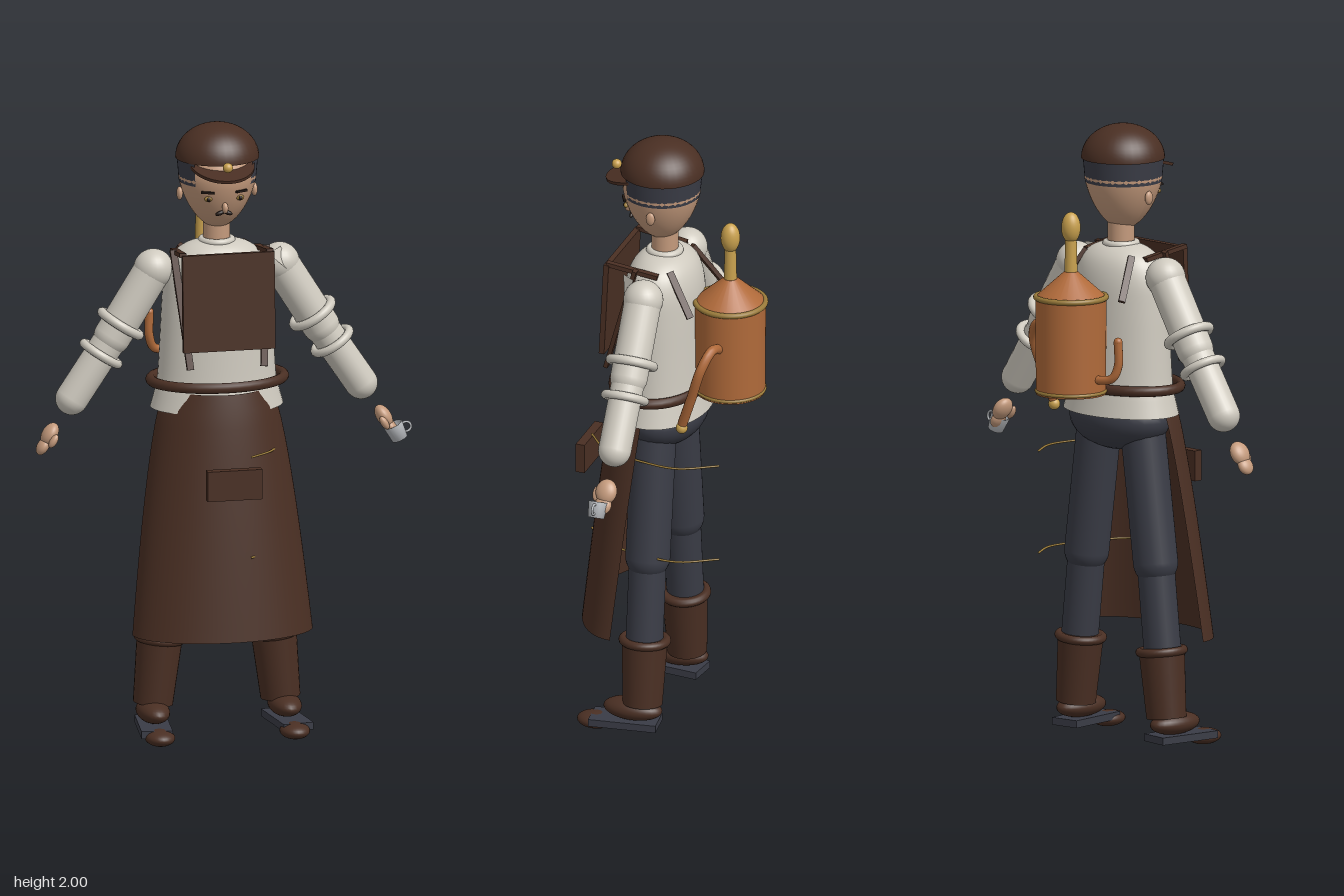
import * as THREE from 'three';

const mat = (name, color, side = THREE.FrontSide) => {
  const m = new THREE.MeshStandardMaterial({ color, side });
  m.name = name;
  return m;
};
const V = (x, y, z) => new THREE.Vector3(x, y, z);
const UP = V(0, 1, 0);

export function createModel() {
  const M = {
    leather: mat('brown leather', 0x4a2f23, THREE.DoubleSide),
    cloth: mat('linen shirt', 0xcfcabf, THREE.DoubleSide),
    navy: mat('dark slate', 0x3a3c46, THREE.DoubleSide),
    skin: mat('skin', 0xc49a7c),
    copper: mat('copper', 0xb06a3a),
    brass: mat('brass', 0xc9a14e),
    trim: mat('dull brass trim', 0x9a7b3a),
    tin: mat('tin', 0xb9bcc0, THREE.DoubleSide),
    ink: mat('dark hair', 0x241a16),
  };
  const model = new THREE.Group();
  model.name = 'travellingBrewer';
  const body = new THREE.Group();
  body.name = 'figure';
  body.position.x = -0.022;
  model.add(body);

  const add = (name, geo, m, x = 0, y = 0, z = 0) => {
    const mesh = new THREE.Mesh(geo, m);
    mesh.name = name;
    mesh.position.set(x, y, z);
    body.add(mesh);
    return mesh;
  };
  const ball = (name, m, x, y, z, rx, ry = rx, rz = rx) => {
    const b = add(name, new THREE.SphereGeometry(1, 28, 18), m, x, y, z);
    b.scale.set(rx, ry, rz);
    return b;
  };
  // Turn a part whose length runs along y so that it points from a to b
  const aim = (mesh, a, b) => {
    mesh.position.copy(a).lerp(b, 0.5);
    mesh.quaternion.setFromUnitVectors(UP, b.clone().sub(a).normalize());
    return mesh;
  };
  const capsule = (name, m, a, b, r) =>
    aim(add(name, new THREE.CapsuleGeometry(r, a.distanceTo(b), 8, 28), m), a, b);
  const rod = (name, m, a, b, ra, rb = ra) =>
    aim(add(name, new THREE.CylinderGeometry(rb, ra, a.distanceTo(b), 28), m), a, b);
  const strap = (name, a, b, w, t) =>
    aim(add(name, new THREE.BoxGeometry(w, a.distanceTo(b), t), M.leather), a, b);
  const ring = (name, m, r, tube, c, dir = UP) => {
    const g = new THREE.TorusGeometry(r, tube, 12, 40).rotateX(Math.PI / 2);
    const t = add(name, g, m, c.x, c.y, c.z);
    t.quaternion.setFromUnitVectors(UP, dir);
    return t;
  };
  const tube = (name, m, pts, r) =>
    add(name, new THREE.TubeGeometry(new THREE.CatmullRomCurve3(pts), 32, r, 12), m);

  // Head, tapering toward the chin
  const headGeo = new THREE.SphereGeometry(0.125, 36, 24);
  const p = headGeo.attributes.position;
  for (let i = 0; i < p.count; i++) {
    const t = Math.max(0, -p.getY(i) / 0.125), k = 1 - 0.2 * t;
    p.setXYZ(i, p.getX(i) * k, p.getY(i) * (t > 0 ? 1.36 : 1), p.getZ(i) * k);
  }
  headGeo.computeVertexNormals();
  add('head', headGeo, M.skin, 0, 1.83, 0.045);
  rod('neck', M.skin, V(0, 1.59, 0.035), V(0, 1.7, 0.035), 0.043);
  ball('nose', M.skin, 0, 1.748, 0.158, 0.01, 0.018, 0.014);
  add('hair', new THREE.CylinderGeometry(0.13, 0.123, 0.08, 40, 1, true, 0.82, Math.PI * 2 - 1.64),
    M.navy, 0, 1.855, 0.045);

  // Cap, visor and badge
  const dome = add('capDome', new THREE.SphereGeometry(1, 36, 14, 0, Math.PI * 2, 0, Math.PI / 2), M.leather, 0, 1.89, 0.043);
  dome.scale.set(0.134, 0.11, 0.134);
  const under = add('capUnderside', new THREE.CircleGeometry(0.134, 36), M.leather, 0, 1.89, 0.043);
  under.rotation.x = Math.PI / 2;
  const visor = add('capVisor', new THREE.CylinderGeometry(1, 1, 1, 36), M.leather, 0, 1.882, 0.105);
  visor.scale.set(0.105, 0.01, 0.128);
  visor.rotation.x = 0.26;
  ball('capBadge', M.brass, 0, 1.89, 0.198, 0.016);

  for (const s of [-1, 1]) {
    // Face
    ball('eye', M.trim, s * 0.052, 1.777, 0.146, 0.013, 0.009, 0.008);
    ball('pupil', M.ink, s * 0.052, 1.777, 0.152, 0.006, 0.007, 0.005);
    const brow = add('eyebrow', new THREE.BoxGeometry(0.042, 0.007, 0.009), M.ink, s * 0.055, 1.8, 0.153);
    brow.rotation.y = s * 0.45;
    const tash = ball('moustache', M.ink, s * 0.013, 1.728, 0.142, 0.016, 0.007, 0.007);
    tash.rotation.z = -s * 0.35;
    ball('ear', M.skin, s * 0.122, 1.775, 0.04, 0.01, 0.022, 0.015);

    // Sleeve with two rolled bands
    const sh = V(s * 0.206, 1.53, 0.033), el = V(s * 0.34, 1.315, 0.033), wr = V(s * 0.472, 1.118, 0.033);
    const dir = wr.clone().sub(sh).normalize();
    ball('shoulder', M.cloth, sh.x, sh.y, sh.z, 0.064);
    capsule('upperSleeve', M.cloth, sh, el, 0.06);
    capsule('lowerSleeve', M.cloth, el, wr, 0.053);
    ring('sleeveBand', M.cloth, 0.07, 0.015, V(s * 0.313, 1.355, 0.033), dir);
    ring('sleeveBand', M.cloth, 0.064, 0.014, V(s * 0.377, 1.26, 0.033), dir);

    // Hand
    const palm = ball('palm', M.skin, s * 0.545, 1.005, 0.035, 0.024, 0.04, 0.035);
    const fingers = ball('fingers', M.skin, s * 0.568, 0.967, 0.038, 0.018, 0.03, 0.028);
    palm.rotation.z = fingers.rotation.z = s * 0.55;
    ball('thumb', M.skin, s * 0.54, 0.99, 0.07, 0.012, 0.024, 0.013).rotation.z = s * 0.55;

    // Leg
    const hip = V(s * 0.1, 1.02, 0.035), knee = V(s * 0.158, 0.6, 0.035), ankle = V(s * 0.192, 0.3, 0.035);
    capsule('thigh', M.navy, hip, knee, 0.072);
    capsule('shin', M.navy, knee, ankle, 0.06);

    // Boot
    const top = V(s * 0.185, 0.33, 0.035), low = V(s * 0.208, 0.105, 0.035);
    rod('bootShaft', M.leather, low, top, 0.064, 0.074);
    ring('bootCuff', M.leather, 0.07, 0.014, V(s * 0.186, 0.318, 0.035), top.clone().sub(low).normalize());
    ball('bootFoot', M.leather, s * 0.215, 0.085, 0.065, 0.052, 0.036, 0.098);
    ball('bootToe', M.leather, s * 0.22, 0.028, 0.19, 0.048, 0.026, 0.06);
    const sole = add('bootSole', new THREE.BoxGeometry(0.1, 0.024, 0.22), M.navy, s * 0.218, 0.04, 0.09);
    sole.rotation.y = s * 0.12;

    // Apron straps: hanging front, over the shoulder, down the back
    strap('frontStrap', V(s * 0.12, 1.23, 0.19), V(s * 0.152, 1.6, 0.08), 0.022, 0.014);
    strap('shoulderStrap', V(s * 0.142, 1.605, 0.18), V(s * 0.135, 1.58, 0.01), 0.022, 0.014);
    strap('backStrap', V(s * 0.105, 1.59, -0.02), V(s * 0.148, 1.46, -0.105), 0.022, 0.014);
  }

  // Shirt
  const shirt = [[0.215, 1.075], [0.2, 1.13], [0.192, 1.17], [0.184, 1.3], [0.178, 1.42],
    [0.17, 1.51], [0.145, 1.57], [0.1, 1.605], [0.045, 1.62]];
  const curve = new THREE.SplineCurve(shirt.map(([x, y]) => new THREE.Vector2(x, y)));
  add('shirtBody', new THREE.LatheGeometry(curve.getPoints(32), 48), M.cloth, 0, 0, 0.035).scale.z = 0.7;
  ring('shirtCollar', M.cloth, 0.048, 0.012, V(0, 1.615, 0.035));
  ball('trouserSeat', M.navy, 0, 1.055, 0.03, 0.19, 0.105, 0.13);
  ring('belt', M.leather, 0.215, 0.017, V(0, 1.165, 0.043)).scale.z = 0.7;

  // Shoulder cloth
  const flap = new THREE.BufferGeometry().setFromPoints([V(0.15, 1.58, 0.12), V(0.282, 1.46, 0.07), V(0.2, 1.59, 0.07)]);
  flap.computeVertexNormals();
  add('shoulderCloth', flap, M.cloth);

  // Apron skirt: half-ellipse sections widening downward
  const apron = new THREE.PlaneGeometry(2, 1, 40, 14);
  const q = apron.attributes.position;
  for (let i = 0; i < q.count; i++) {
    const t = 0.5 - q.getY(i), a = q.getX(i) * Math.PI / 2;
    const edge = 0.04 + 0.075 * t, front = 0.187 + 0.098 * t ** 0.8;
    q.setXYZ(i, Math.sin(a) * (0.165 + 0.128 * t ** 0.6), 1.14 - 0.79 * t, edge + Math.cos(a) * (front - edge));
  }
  apron.computeVertexNormals();
  add('apronSkirt', apron, M.leather);
  add('apronPocket', new THREE.BoxGeometry(0.178, 0.098, 0.03), M.leather, 0, 0.872, 0.29);
  add('apronBib', new THREE.BoxGeometry(0.3, 0.315, 0.018), M.leather, 0.005, 1.446, 0.186).rotation.x = -0.05;

  // Copper urn carried on the back
  const uz = -0.187;
  rod('urnBody', M.copper, V(0, 1.155, uz), V(0, 1.47, uz), 0.112, 0.114);
  rod('urnLid', M.copper, V(0, 1.47, uz), V(0, 1.55, uz), 0.112, 0.022);
  ring('urnTopRim', M.trim, 0.112, 0.009, V(0, 1.468, uz));
  ring('urnBottomRim', M.trim, 0.11, 0.006, V(0, 1.165, uz));
  rod('urnStem', M.brass, V(0, 1.54, uz), V(0, 1.67, uz), 0.021, 0.018);
  ball('urnFinial', M.brass, 0, 1.692, uz, 0.031, 0.05, 0.031);
  tube('urnSpout', M.copper, [V(0.09, 1.34, uz), V(0.16, 1.36, -0.18), V(0.2, 1.31, -0.16),
    V(0.195, 1.2, -0.125), V(0.18, 1.1, -0.09)], 0.016);
  ball('spoutNozzle', M.brass, 0.18, 1.085, -0.088, 0.019);
  tube('urnHandle', M.copper, [V(-0.09, 1.21, -0.18), V(-0.16, 1.22, -0.16), V(-0.178, 1.26, -0.15), V(-0.178, 1.34, -0.15)], 0.014);
  ball('handleEnd', M.copper, -0.178, 1.34, -0.15, 0.014);

  // Thin wire hoops at the left side
  for (const y of [0.95, 0.62]) {
    tube('wireHoop', M.trim, [V(0.06, y, 0.26), V(0.15, y, 0.18), V(0.195, y, 0.04), V(0.205, y, -0.08), V(0.14, y, -0.2)], 0.0035);
  }

  // Tin cup in the left hand
  const cup = new THREE.Group();
  cup.name = 'cup';
  const wall = new THREE.LatheGeometry([[0.001, -0.026], [0.026, -0.026], [0.032, 0.026], [0.028, 0.026], [0.022, -0.02], [0.001, -0.02]]
    .map(([x, y]) => new THREE.Vector2(x, y)), 24);
  const cupBody = new THREE.Mesh(wall, M.tin);
  cupBody.name = 'cupWall';
  const grip = new THREE.Mesh(new THREE.TorusGeometry(0.016, 0.004, 8, 20), M.tin);
  grip.name = 'cupHandle';
  grip.position.x = 0.035;
  cup.add(cupBody, grip);
  cup.position.set(0.583, 0.955, 0.052);
  cup.rotation.z = 0.45;
  body.add(cup);

  return model;
}
